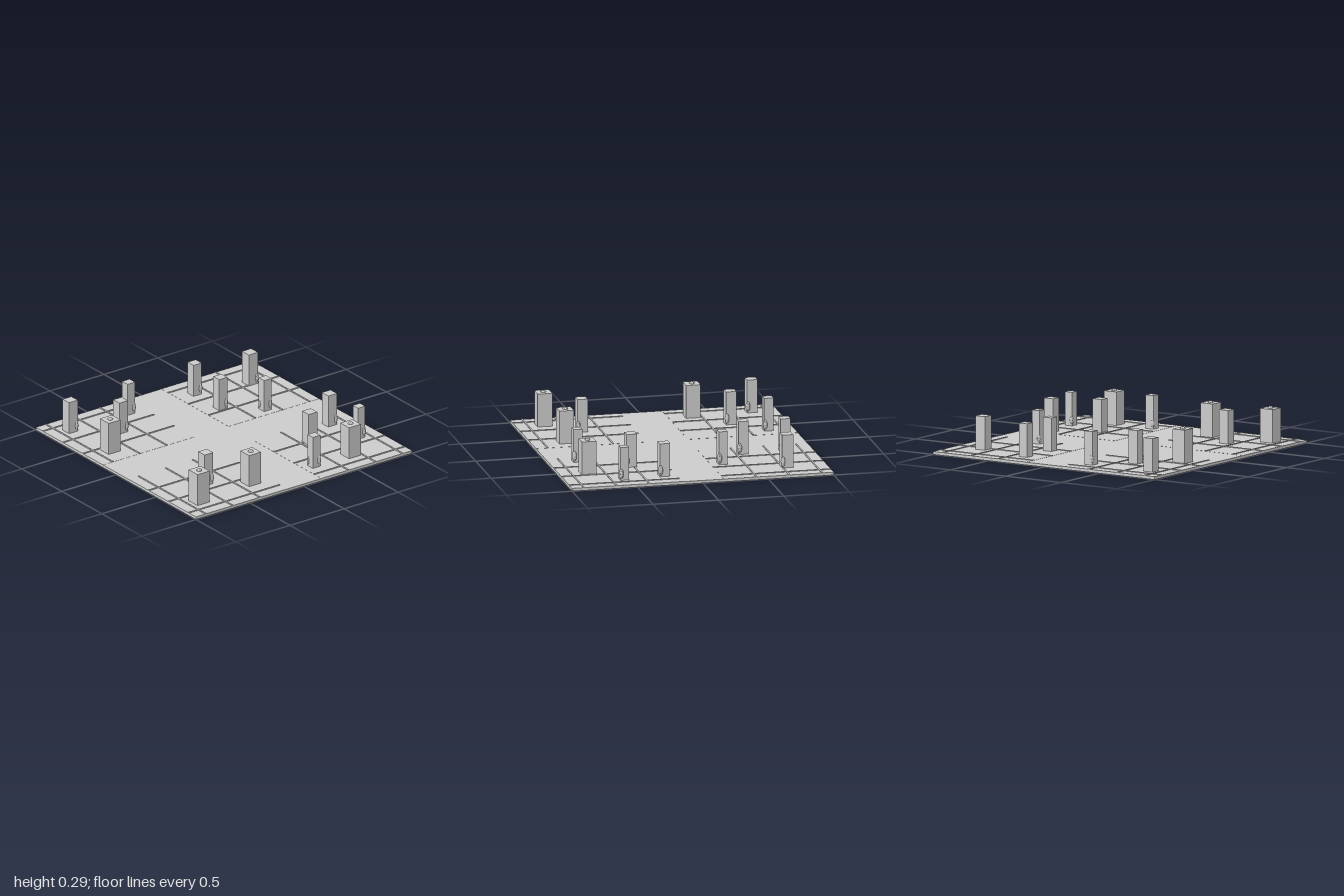
import * as THREE from 'three';

const grey = new THREE.MeshStandardMaterial({ color: 0xcccccc, flatShading: true });
const GROUND = 0.021, ROOF = 0.275;

function box(parent, name, w, h, d, x, y, z) {
  const mesh = new THREE.Mesh(new THREE.BoxGeometry(w, h, d), grey);
  mesh.name = name;
  mesh.position.set(x, y + h / 2, z);
  parent.add(mesh);
}

// Low-poly foliage blob
function foliage(parent, name, rx, ry, x, y, z) {
  const mesh = new THREE.Mesh(new THREE.IcosahedronGeometry(1, 1), grey);
  mesh.name = name;
  mesh.scale.set(rx, ry, rx);
  mesh.position.set(x, y, z);
  parent.add(mesh);
}

// Tower position, width and kind of planting
const towers = [
  [-0.83, -0.80, 0.08, 'one'], [-0.29, -0.80, 0.07, 'two'],
  [0.31, -0.785, 0.075, 'one'], [0.755, -0.695, 0.085, 'one'],
  [-0.535, -0.57, 0.078, 'one'], [0.31, -0.465, 0.075, 'one'],
  [0.565, -0.25, 0.068, 'two'], [0.79, 0.25, 0.08, 'one'],
  [0.475, 0.43, 0.08, 'one'], [-0.58, 0.555, 0.08, 'one'],
  [0.83, 0.565, 0.066, 'two'], [0.25, 0.785, 0.068, 'two'],
  [-0.80, -0.34, 0.11, 'roof'], [-0.815, 0.79, 0.112, 'roof'],
  [-0.305, 0.745, 0.11, 'roof'], [0.59, 0.785, 0.11, 'roof'],
];

export function createModel() {
  const model = new THREE.Group();
  model.name = 'cityBoard';

  box(model, 'base', 2, GROUND, 2, 0, 0, 0);

  // Four city quarters between the crossing avenues
  for (const sx of [-1, 1]) for (const sz of [-1, 1]) {
    const quarter = new THREE.Group();
    quarter.name = 'quarter';
    const start = 0.16, length = 1 - start, mid = start + length / 2;
    box(quarter, 'pavement', length, 0.001, length, sx * mid, GROUND, sz * mid);

    // Raised kerbs dividing the quarter into plots
    for (const p of [0.41, 0.66, 0.91]) {
      box(quarter, 'kerbAcross', length, 0.006, 0.012, sx * mid, GROUND, sz * p);
      box(quarter, 'kerbAlong', 0.012, 0.006, length, sx * p, GROUND, sz * mid);
    }
    model.add(quarter);
  }

  // Towers with corner shrubs or a rooftop planting
  for (const [x, z, w, planting] of towers) {
    const tower = new THREE.Group();
    tower.name = 'tower';
    tower.position.set(x, 0, z);
    box(tower, 'towerBlock', w, ROOF - GROUND, w, 0, GROUND, 0);
    const c = w / 2 - 0.009;
    if (planting === 'roof') foliage(tower, 'roofShrub', 0.021, 0.015, 0, ROOF, 0);
    else foliage(tower, 'cornerShrub', 0.018, 0.046, c, 0.07, c);
    if (planting === 'two') foliage(tower, 'backShrub', 0.016, 0.04, -c, 0.065, -c);
    model.add(tower);
  }
  return model;
}
